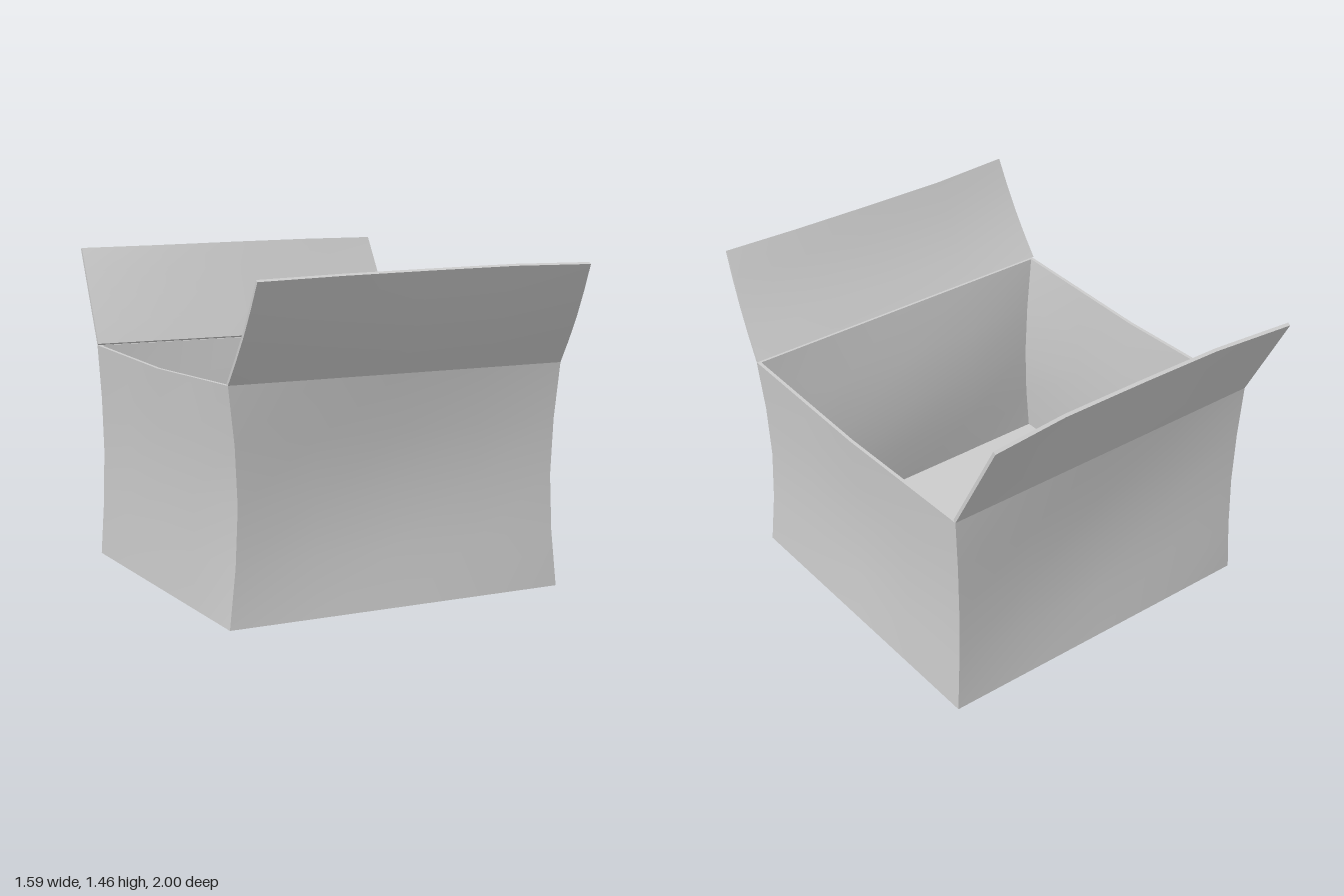
import * as THREE from 'three';

const material = new THREE.MeshStandardMaterial({ color: 0xcccccc, side: THREE.DoubleSide });
const lerp = THREE.MathUtils.lerp;
const THICK = 0.015;

// Thin slab whose vertices are moved by rule(u, v, inner): u, v in 0..1, inner 0 outside / 1 inside
function slab(name, rule) {
  const geo = new THREE.BoxGeometry(1, 1, 1, 4, 4, 1);
  const p = geo.attributes.position;
  for (let i = 0; i < p.count; i++) {
    p.setXYZ(i, ...rule(p.getX(i) + 0.5, p.getY(i) + 0.5, 0.5 - p.getZ(i)));
  }
  geo.computeVertexNormals();
  const mesh = new THREE.Mesh(geo, material);
  mesh.name = name;
  return mesh;
}

// Wall from corner a to corner b, pulled in at half height to the five [x, z] points of mid
function wall(name, a, b, mid, sag) {
  return slab(name, (u, v, inner) => {
    const m = mid[Math.round(u * 4)];
    const bend = Math.sin(Math.PI * v);
    const x = lerp(lerp(a[0], b[0], u), m[0], bend);
    const z = lerp(lerp(a[1], b[1], u), m[1], bend);
    const y = v - sag * v * (1 - Math.abs(2 * u - 1));
    const k = 1 - 0.02 * inner; // mitred inner face
    return [x * k, y, (z + 0.02) * k - 0.02];
  });
}

// Flap rising from hinge a-b to the five [x, y, z] points of its tip edge
function flap(name, a, b, tip, bulge) {
  const dir = Math.sign(a[1]);
  return slab(name, (u, v, inner) => {
    const t = tip[Math.round(u * 4)];
    const out = bulge * Math.sin(Math.PI * v);
    return [
      lerp(lerp(a[0], b[0], u), t[0], v),
      lerp(1, t[1], v) + inner * THICK * 0.5 - out * 0.5,
      lerp(lerp(a[1], b[1], u), t[2], v) + dir * (out - inner * THICK * 0.87),
    ];
  });
}

export function createModel() {
  const group = new THREE.Group();
  group.name = 'openBox';

  // Outer corners [x, z] at the rim and base, and at half height
  const FR = [-0.795, 0.725], FL = [0.79, 0.725], BL = [0.79, -0.77], BR = [-0.795, -0.77];
  const mFR = [-0.745, 0.7], mFL = [0.765, 0.7], mBL = [0.77, -0.76], mBR = [-0.775, -0.76];

  group.add(
    wall('frontWall', FR, FL, [mFR, [-0.38, 0.675], [0, 0.67], [0.39, 0.68], mFL], 0),
    wall('leftWall', FL, BL, [mFL, [0.77, 0.33], [0.755, -0.02], [0.77, -0.39], mBL], 0.02),
    wall('backWall', BL, BR, [mBL, [0.39, -0.735], [0, -0.725], [-0.39, -0.735], mBR], 0),
    wall('rightWall', BR, FR, [mBR, [-0.78, -0.39], [-0.765, -0.02], [-0.78, 0.33], mFR], 0.02),
  );

  // Flaps
  group.add(
    flap('frontFlap', FR, FL, [
      [-0.79, 1.43, 0.995], [-0.4, 1.437, 0.96], [0, 1.443, 0.955], [0.4, 1.448, 0.957], [0.755, 1.445, 0.98],
    ], 0.012),
    flap('backFlap', BL, BR, [
      [0.765, 1.445, -0.995], [0.4, 1.448, -0.967], [0, 1.445, -0.965], [-0.4, 1.44, -0.967], [-0.785, 1.435, -1],
    ], 0),
  );

  // Floor
  const floor = new THREE.Mesh(new THREE.BoxGeometry(1.58, THICK, 1.49), material);
  floor.name = 'floor';
  floor.position.set(-0.0025, THICK / 2, -0.0225);
  group.add(floor);

  return group;
}
